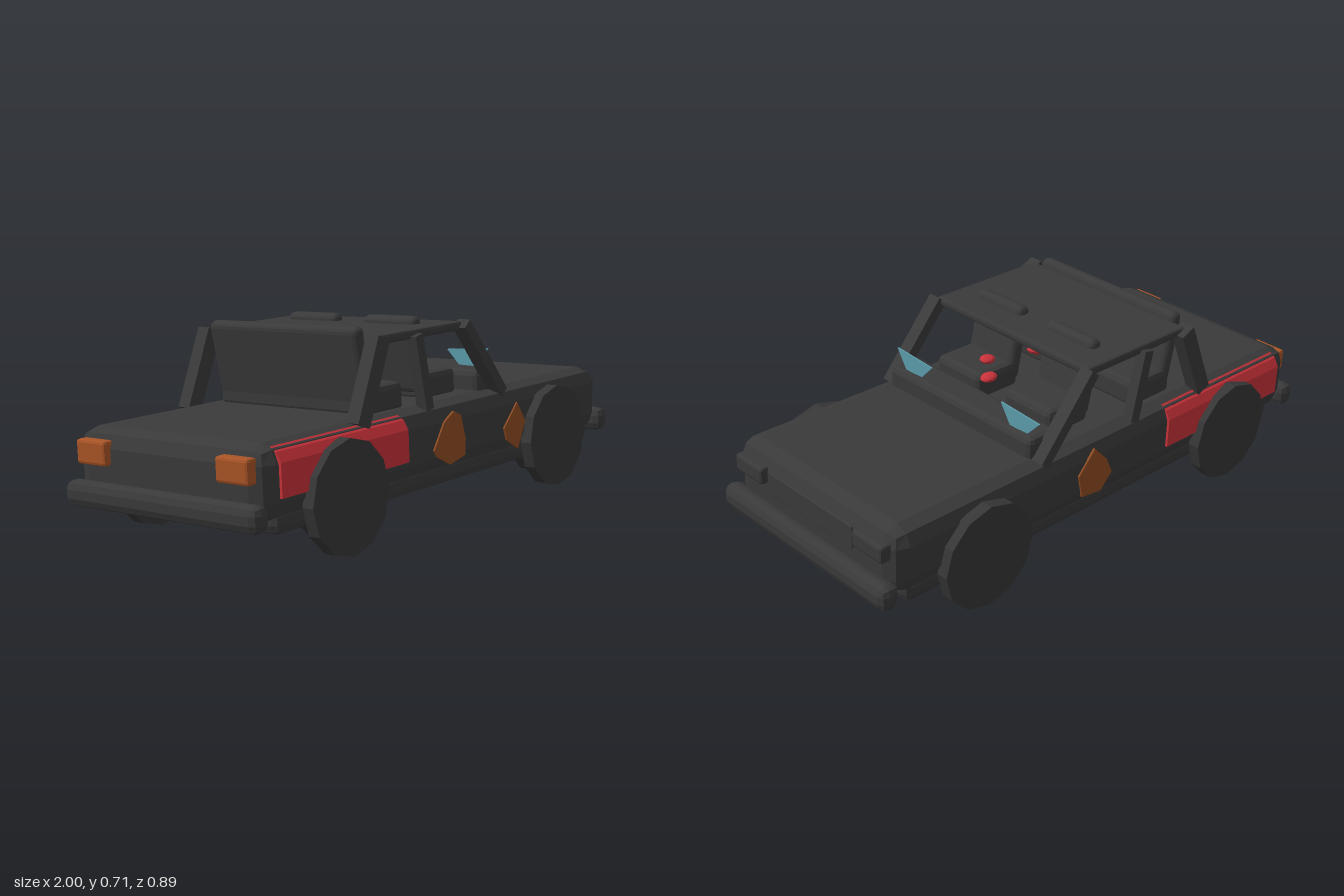
import * as THREE from 'three';
import { RoundedBoxGeometry } from 'three/addons/geometries/RoundedBoxGeometry.js';

const paint = (name, color, extra = {}) => {
  const m = new THREE.MeshStandardMaterial({ color, flatShading: true, ...extra });
  m.name = name;
  return m;
};

export function createModel() {
  const dark = paint('charredMetal', 0x3a3a3a);
  const rubber = paint('burntRubber', 0x363636);
  const red = paint('redPaint', 0xc8323a);
  const rust = paint('rust', 0x8f4c22);
  const lamp = paint('amberLamp', 0xa85426);
  const glass = paint('glass', 0x5b9bab, { side: THREE.DoubleSide });

  const model = new THREE.Group();
  model.name = 'wreckedCar';
  // The whole car leans sideways
  const car = new THREE.Group();
  car.name = 'leaningCar';
  car.rotation.x = -0.046;
  car.position.z = 0.0115;
  model.add(car);

  const add = (name, geometry, material, x = 0, y = 0, z = 0) => {
    const mesh = new THREE.Mesh(geometry, material);
    mesh.name = name;
    mesh.position.set(x, y, z);
    car.add(mesh);
    return mesh;
  };
  // Chamfered box given by its limits
  const block = (name, material, [x0, x1], [y0, y1], [z0, z1], r) =>
    add(name, new RoundedBoxGeometry(x1 - x0, y1 - y0, z1 - z0, 1, r), material,
      (x0 + x1) / 2, (y0 + y1) / 2, (z0 + z1) / 2);
  // Slanted bar between two points of the side profile
  const bar = (name, [x0, y0], [x1, y1], thick, width, z, r) => {
    const len = Math.hypot(x1 - x0, y1 - y0);
    const geo = r ? new RoundedBoxGeometry(thick, len, width, 2, r) : new THREE.BoxGeometry(thick, len, width);
    const mesh = add(name, geo, dark, (x0 + x1) / 2, (y0 + y1) / 2, z);
    mesh.rotation.z = -Math.atan2(x1 - x0, y1 - y0);
    return mesh;
  };
  const plate = (points, depth) => new THREE.ExtrudeGeometry(
    new THREE.Shape(points.map(([x, y]) => new THREE.Vector2(x, y))), { depth, bevelEnabled: false });

  // Body
  block('body', dark, [-0.95, 0.945], [0.18, 0.415], [-0.4, 0.4], 0.06);
  block('underbody', dark, [-0.88, 0.89], [0.137, 0.225], [-0.385, 0.385], 0.03);
  block('dashboard', dark, [0.215, 0.34], [0.39, 0.485], [-0.345, 0.345], 0.02);
  block('grille', dark, [0.93, 0.95], [0.281, 0.361], [-0.205, 0.205], 0.004);
  block('frontBumper', dark, [0.93, 1], [0.165, 0.25], [-0.41, 0.41], 0.028);
  block('rearBumper', dark, [-1, -0.93], [0.165, 0.25], [-0.41, 0.41], 0.028);

  // Roof and bench seat
  block('roof', dark, [-0.37, 0.108], [0.637, 0.668], [-0.365, 0.365], 0.01);
  bar('rearSeatBack', [-0.335, 0.43], [-0.386, 0.697], 0.05, 0.64, 0, 0.022);
  block('rearSeatCushion', dark, [-0.365, -0.17], [0.4, 0.5], [-0.32, 0.32], 0.022);

  for (const s of [1, -1]) {
    const z = 0.365 * s;
    // Pillars
    bar('frontPillar', [0.315, 0.4], [0.1, 0.66], 0.04, 0.05, z);
    bar('middlePillar', [-0.115, 0.4], [-0.165, 0.65], 0.04, 0.04, z);
    bar('rearPillar', [-0.47, 0.4], [-0.355, 0.66], 0.06, 0.05, z);

    // Front seats
    bar('frontSeatBack', [0.02, 0.43], [-0.03, 0.693], 0.052, 0.22, 0.168 * s, 0.022);
    block('frontSeatCushion', dark, [0, 0.185], [0.4, 0.5], [0.168 * s - 0.11, 0.168 * s + 0.11], 0.022);

    // Lamps
    block('headlight', dark, [0.92, 0.97], [0.312, 0.372], [0.296 * s - 0.07, 0.296 * s + 0.07], 0.01);
    block('tailLight', lamp, [-0.975, -0.93], [0.302, 0.382], [0.3 * s - 0.065, 0.3 * s + 0.065], 0.01);

    // Red rear wing, following the shoulder of the body
    const wing = plate([[0.38, 0.255], [0.409, 0.255], [0.409, 0.36], [0.391, 0.39],
      [0.368, 0.405], [0.355, 0.39]].map(([a, b]) => [a * s, b]), 0.61);
    add('rearWing', wing, red, -0.27).rotation.y = -Math.PI / 2;

    // Wheels with a narrower inner drum
    for (const x of [-0.595, 0.59]) {
      const name = x > 0 ? 'frontWheel' : 'rearWheel';
      const disc = new THREE.CylinderGeometry(0.183, 0.183, 0.042, 12).rotateX(Math.PI / 2);
      const drum = new THREE.CylinderGeometry(0.137, 0.137, 0.09, 12).rotateX(Math.PI / 2);
      add(name, disc, rubber, x, 0.206, 0.414 * s);
      add(name + 'Drum', drum, rubber, x, 0.206, 0.36 * s);
    }
  }

  // Rust patches
  add('rustPatchDoor', plate([[-0.13, 0.267], [-0.07, 0.352], [-0.015, 0.382], [0.025, 0.365],
    [0.05, 0.28], [0.045, 0.225], [-0.04, 0.207], [-0.115, 0.245]], 0.008), rust, 0, 0, 0.398);
  add('rustPatchFender', plate([[0.285, 0.277], [0.37, 0.357], [0.42, 0.285],
    [0.37, 0.192], [0.3, 0.235]], 0.008), rust, 0, 0, 0.398);
  add('rustPatchFarDoor', plate([[0.17, 0.31], [0.1, 0.39], [0.04, 0.33], [0.01, 0.27],
    [0.06, 0.215], [0.15, 0.225]], 0.008), rust, 0, 0, -0.406);

  // Broken windscreen pieces
  for (const z of [0, -0.51]) {
    const shard = plate([[0.328, 0.551], [0.153, 0.54], [0.203, 0.487], [0.283, 0.484]], 0.006);
    add('windscreenShard', shard, glass, 0.317, 0, z).rotation.y = -Math.PI / 2;
  }

  // Red scraps in the cabin
  for (const [x, y, z, w, tilt] of [[-0.06, 0.53, 0.035, 0.038, 0.25], [0.105, 0.523, 0.105, 0.028, 0], [0.19, 0.521, 0.008, 0.032, -0.1]]) {
    const scrap = add('redScrap', new THREE.IcosahedronGeometry(1, 1), red, x, y, z);
    scrap.scale.set(w, 0.014, 0.026);
    scrap.rotation.z = tilt;
  }
  return model;
}
